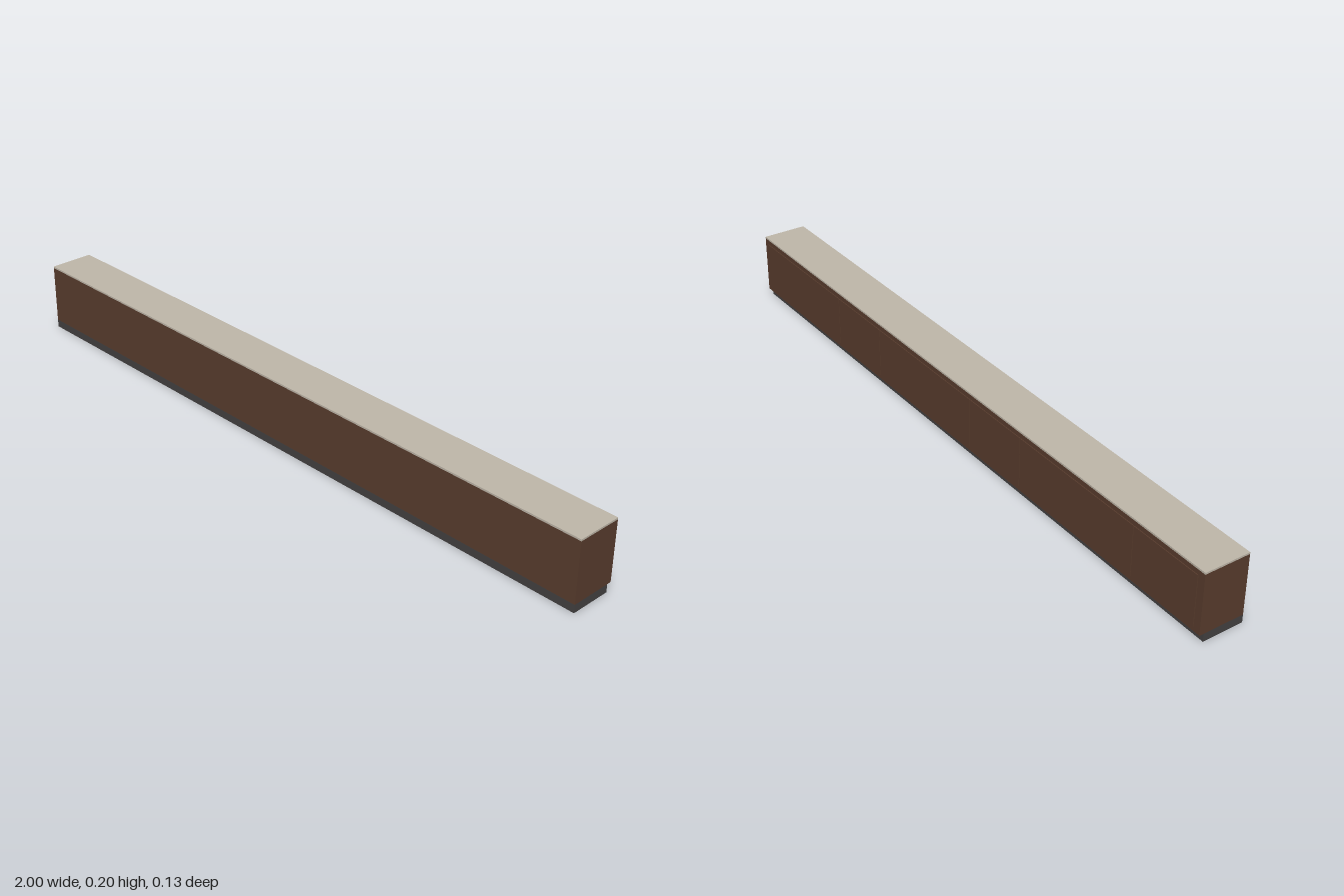
import * as THREE from 'three';

const FRONT = 0.0665; // flush front plane shared by plinth, carcass and worktop

export function createModel() {
  const model = new THREE.Group();
  model.name = 'longCabinet';

  const wood = new THREE.MeshStandardMaterial({ color: 0x5a3d2e });
  const stone = new THREE.MeshStandardMaterial({ color: 0xc0b8aa });
  const dark = new THREE.MeshStandardMaterial({ color: 0x444242 });

  // Box given by its limits on each axis
  function addBox(name, material, [x0, x1], [y0, y1], [z0, z1]) {
    const mesh = new THREE.Mesh(new THREE.BoxGeometry(x1 - x0, y1 - y0, z1 - z0), material);
    mesh.position.set((x0 + x1) / 2, (y0 + y1) / 2, (z0 + z1) / 2);
    mesh.name = name;
    model.add(mesh);
  }

  // Plinth set back under the door side
  addBox('plinth', dark, [-1, 1], [0, 0.023], [-0.052, FRONT]);
  addBox('carcass', wood, [-1, 1], [0.023, 0.195], [-0.0645, FRONT]);
  addBox('worktop', stone, [-1, 1], [0.195, 0.2], [-0.0645, FRONT]);

  // Thin door panels along the back, alternating narrow and wide
  const seams = [-0.98, -0.76, -0.32, -0.1, 0.34, 0.56, 0.985];
  const gap = 0.001;
  for (let i = 0; i < seams.length - 1; i++) {
    addBox(`doorPanel${i + 1}`, wood, [seams[i] + gap, seams[i + 1] - gap], [0.036, 0.181], [-0.0665, -0.0645]);
  }

  return model;
}
